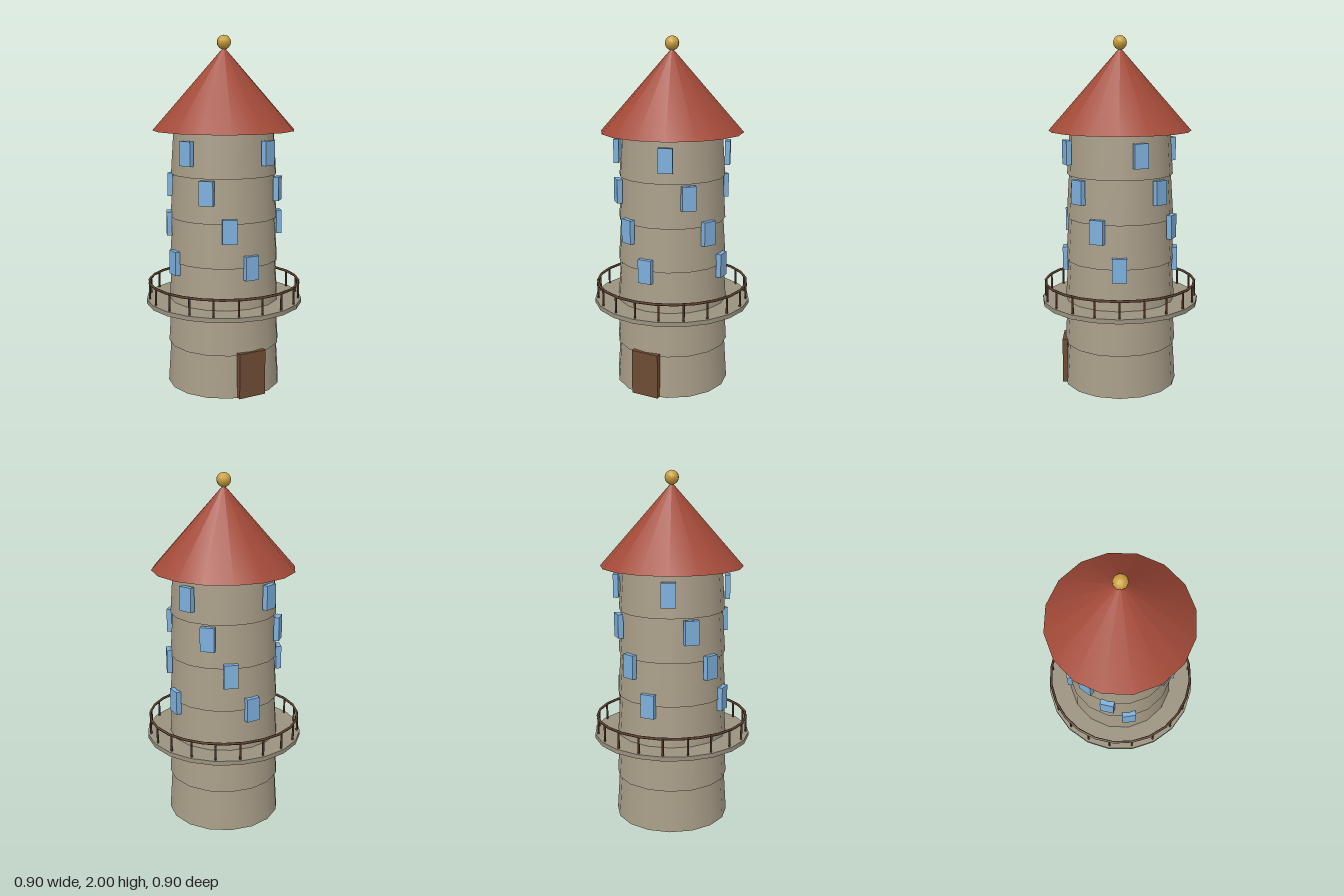
import * as THREE from 'three';

const material = (name, color) => {
  const m = new THREE.MeshStandardMaterial({ color });
  m.name = name;
  return m;
};

export function createModel() {
  const stone = material('stone', 0xa89d88);
  const deckStone = material('deckStone', 0x9a927f);
  const tile = material('roofTile', 0xa34a38);
  const glass = material('windowBlue', 0x7db0dc);
  const wood = material('doorWood', 0x6e4c34);
  const darkWood = material('railWood', 0x5c4030);
  const gold = material('gold', 0xcb9f3c);

  const tower = new THREE.Group();
  tower.name = 'tower';
  const add = (name, geometry, mat, x = 0, y = 0, z = 0, turn = 0) => {
    const mesh = new THREE.Mesh(geometry, mat);
    mesh.name = name;
    mesh.position.set(x, y, z);
    mesh.rotation.y = turn;
    tower.add(mesh);
    return mesh;
  };

  // Six tapered drums, each one stepping out over the drum below
  const floorHeight = 1.475 / 6;
  for (let i = 0; i < 6; i++) {
    const base = 0.327 - i * 0.005;
    add('wallDrum', new THREE.CylinderGeometry(base - 0.016, base, floorHeight, 16),
      stone, 0, (i + 0.5) * floorHeight);
  }

  // Door
  add('door', new THREE.BoxGeometry(0.165, 0.26, 0.03), wood, 0, 0.13, 0.32);

  // Four windows on each upper floor, spiralling round the tower
  const pane = new THREE.BoxGeometry(0.08, 0.135, 0.03);
  for (let row = 0; row < 4; row++) {
    for (let k = 0; k < 4; k++) {
      const a = k * Math.PI / 2 + row * 0.4;
      add('window', pane, glass, 0.315 * Math.cos(a), 0.738 + row * 0.208,
        0.315 * Math.sin(a), Math.PI / 2 - a);
    }
  }

  // Balcony deck with posts and handrail
  add('balconyDeck', new THREE.CylinderGeometry(0.452, 0.452, 0.025, 20), deckStone, 0, 0.492, 0);
  const post = new THREE.CylinderGeometry(0.006, 0.006, 0.1, 6);
  for (let i = 0; i < 20; i++) {
    const a = i * Math.PI / 10;
    add('railPost', post, darkWood, 0.434 * Math.cos(a), 0.552, 0.434 * Math.sin(a));
  }
  const rail = new THREE.TorusGeometry(0.434, 0.0075, 6, 24).rotateX(Math.PI / 2);
  add('handrail', rail, darkWood, 0, 0.6, 0);

  // Conical roof and finial
  add('roof', new THREE.ConeGeometry(0.404, 0.46, 16), tile, 0, 1.704, 0);
  add('finial', new THREE.SphereGeometry(0.04, 10, 8), gold, 0, 1.96, 0);

  return tower;
}
